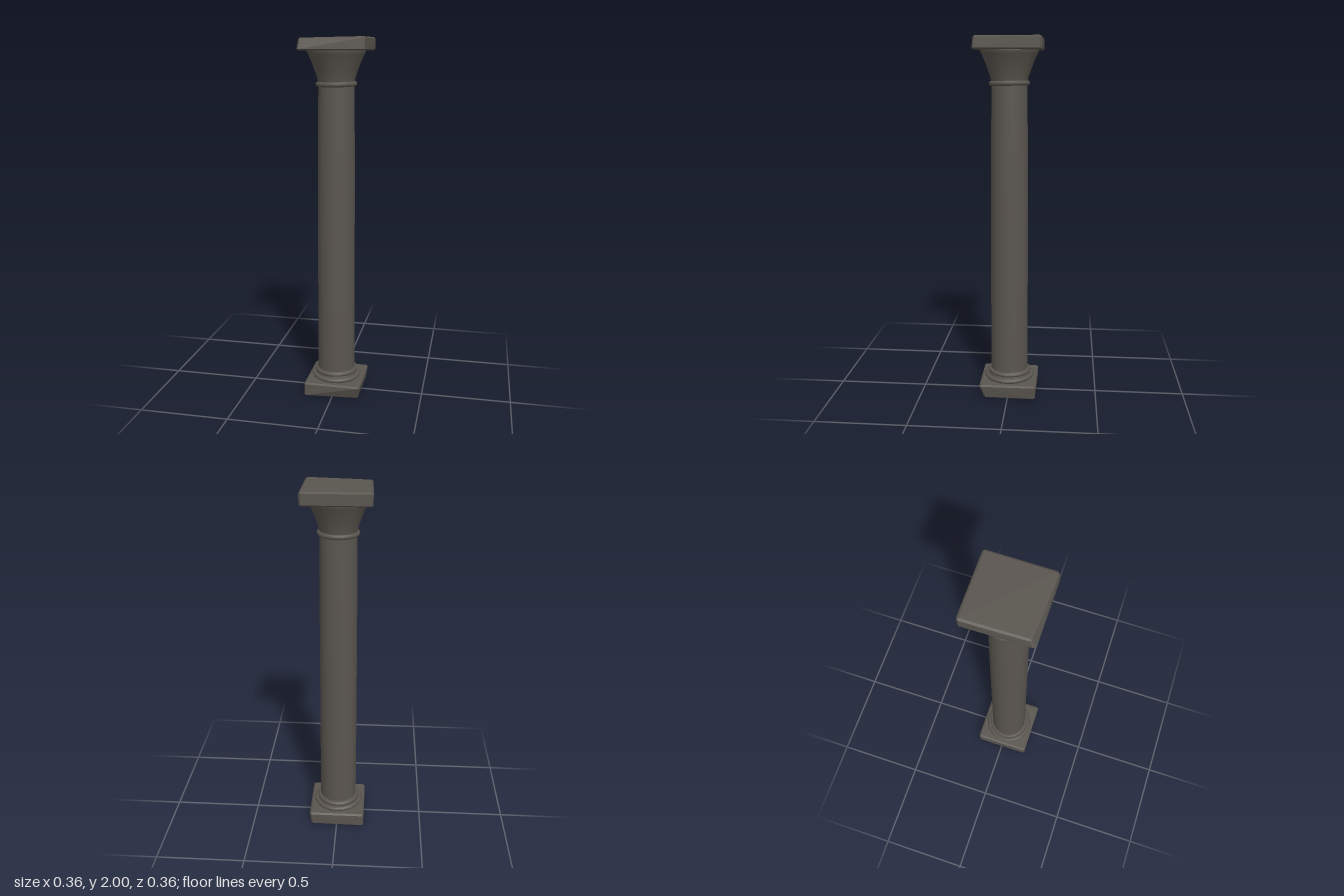
import * as THREE from 'three';
import { ConvexGeometry } from 'three/addons/geometries/ConvexGeometry.js';

const SIDES = 20;

// Worn stone slab: each corner is three points (a small bevel); chips pull single corners in.
function slab(half, y0, y1, bevel, chips) {
  const pts = [];
  for (const sx of [-1, 1]) for (const sy of [-1, 1]) for (const sz of [-1, 1]) {
    const [dx, dy, dz] = chips[`${sx},${sy},${sz}`] || [0, 0, 0];
    const x = sx * half + dx, y = (sy > 0 ? y1 : y0) + dy, z = sz * half + dz;
    const b = bevel, v = bevel * 0.7;
    pts.push(
      new THREE.Vector3(x, y - sy * v, z - sz * b),
      new THREE.Vector3(x - sx * b, y - sy * v, z),
      new THREE.Vector3(x - sx * b, y, z - sz * b),
    );
  }
  return new ConvexGeometry(pts);
}

function lathe(profile) {
  return new THREE.LatheGeometry(profile.map(([r, y]) => new THREE.Vector2(r, y)), SIDES);
}

// Rounded moulding with a flattened section
function moulding(radius, tube, height) {
  const g = new THREE.TorusGeometry(radius, tube, 8, SIDES);
  g.rotateX(Math.PI / 2);
  g.scale(1, height / (2 * tube), 1);
  return g;
}

export function createModel() {
  const group = new THREE.Group();
  const stone = new THREE.MeshStandardMaterial({ color: 0x5a554f });
  stone.name = 'dark stone';

  const add = (name, geometry, y = 0, tiltX = 0, tiltZ = 0, x = -0.002) => {
    const mesh = new THREE.Mesh(geometry, stone);
    mesh.name = name;
    mesh.position.set(x, y, 0);
    mesh.rotation.set(tiltX, 0, tiltZ);
    group.add(mesh);
    return mesh;
  };

  // Square slabs at foot and head, each with a chipped corner
  add('plinth', slab(0.16, 0, 0.08, 0.01, {
    '1,-1,1': [-0.012, 0, -0.025],
    '1,-1,-1': [-0.008, 0, 0.004],
  }), 0, 0, 0, 0);
  add('abacus', slab(0.18, 1.93, 2, 0.01, {
    '-1,1,1': [0.008, -0.006, -0.024],
    '-1,-1,1': [0.004, 0, -0.003],
    '1,1,1': [-0.002, 0, -0.006],
  }), 0, 0, 0, 0);

  // Base mouldings
  add('baseNeck', lathe([[0.12, 0.075], [0.122, 0.1], [0.105, 0.14]]));
  add('lowerBaseRing', moulding(0.128, 0.015, 0.026), 0.096, 0.01, -0.015);
  add('upperBaseRing', moulding(0.11, 0.013, 0.024), 0.123, -0.01, 0.012);

  // Gently tapering shaft
  add('shaft', lathe([[0.106, 0.1], [0.105, 0.5], [0.103, 1], [0.101, 1.4], [0.097, 1.77]]));

  // Collar and flared capital
  add('collar', moulding(0.1, 0.012, 0.026), 1.757, 0.012, 0.015);
  add('capital', lathe([[0.097, 1.755], [0.103, 1.79], [0.117, 1.83], [0.134, 1.875],
    [0.15, 1.91], [0.158, 1.925], [0.156, 1.933]]));

  return group;
}
